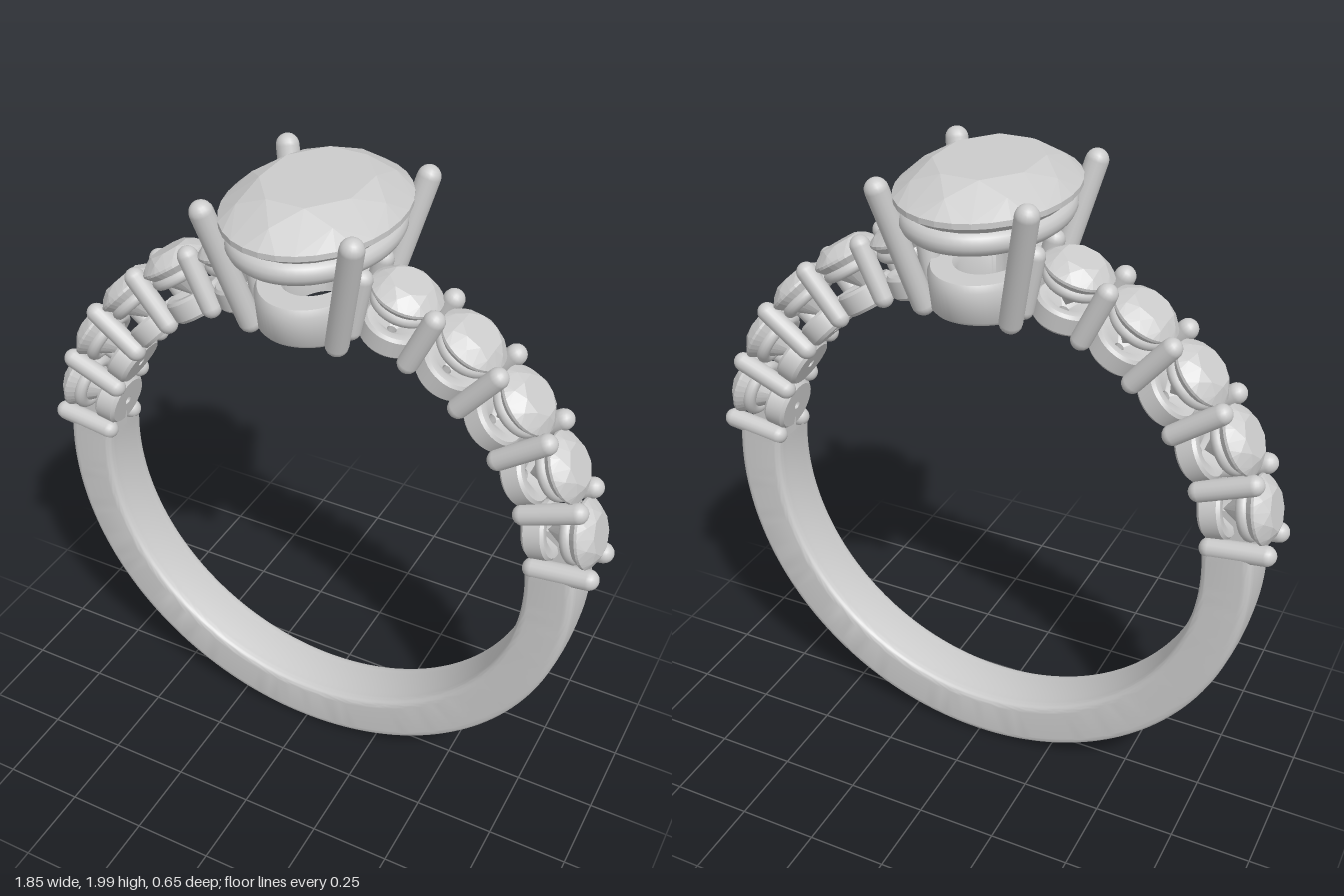
import * as THREE from 'three';
import { toCreasedNormals } from 'three/addons/utils/BufferGeometryUtils.js';
import { ConvexGeometry } from 'three/addons/geometries/ConvexGeometry.js';

const CENTER_Y = 0.88, INNER = 0.71, OUTER = 0.87;
const rad = THREE.MathUtils.degToRad;
const metal = new THREE.MeshStandardMaterial({ color: 0xcccccc });
const twoSided = new THREE.MeshStandardMaterial({ color: 0xcccccc, side: THREE.DoubleSide });
const gem = new THREE.MeshStandardMaterial({ color: 0xcccccc, flatShading: true });

function add(parent, name, geometry, material = metal) {
  const mesh = new THREE.Mesh(geometry, material);
  mesh.name = name;
  parent.add(mesh);
  return mesh;
}

// Round-ended rod whose tips lie on a and b
function rod(parent, name, a, b, r) {
  const dir = b.clone().sub(a);
  const mesh = add(parent, name, new THREE.CapsuleGeometry(r, dir.length() - 2 * r, 6, 16));
  mesh.position.copy(a).add(b).multiplyScalar(0.5);
  mesh.quaternion.setFromUnitVectors(new THREE.Vector3(0, 1, 0), dir.normalize());
}

// Brilliant cut: table, kite tips, girdle and pavilion rings, then the culet
function brilliant(rx, rz, top, girdle, culet) {
  const points = [];
  const ring = (n, scale, y, turn) => {
    for (let i = 0; i < n; i++) {
      const t = ((i + turn) / n) * Math.PI * 2;
      points.push(new THREE.Vector3(rx * scale * Math.cos(t), y, rz * scale * Math.sin(t)));
    }
  };
  const crown = top - girdle;
  ring(8, 0.6, top, 0.5);
  ring(8, 0.82, girdle + crown * 0.62, 0);
  ring(32, 1, girdle + crown * 0.12, 0);
  ring(32, 1, girdle - crown * 0.08, 0);
  ring(8, 0.42, culet + (girdle - culet) * 0.4, 0.5);
  points.push(new THREE.Vector3(0, culet, 0));
  return new ConvexGeometry(points);
}

function lathe(profile, segments = 48) {
  const points = profile.map(([x, y]) => new THREE.Vector2(x, y));
  return new THREE.LatheGeometry(points, segments);
}

// Plain lower shank with softened edges and capped ends
function addShank(group) {
  const w = 0.095, c = 0.03;
  const section = new THREE.Shape();
  section.moveTo(OUTER - c, -w);
  section.quadraticCurveTo(OUTER - 0.003, -w, OUTER - 0.003, -w + c);
  section.quadraticCurveTo(OUTER + 0.003, 0, OUTER - 0.003, w - c);
  section.quadraticCurveTo(OUTER - 0.003, w, OUTER - c, w);
  section.lineTo(INNER + c, w);
  section.quadraticCurveTo(INNER + 0.004, w, INNER + 0.004, w - c);
  section.quadraticCurveTo(INNER - 0.004, 0, INNER + 0.004, -w + c);
  section.quadraticCurveTo(INNER + 0.004, -w, INNER + c, -w);
  section.closePath();
  const end = rad(97);
  const band = new THREE.LatheGeometry(section.getPoints(8), 96, -end, 2 * end);
  band.rotateX(Math.PI / 2);
  const shank = new THREE.Group();
  shank.name = 'shank';
  shank.position.y = CENTER_Y;
  add(shank, 'band', toCreasedNormals(band, rad(35)), twoSided);
  for (const s of [-1, 1]) {
    const cap = add(shank, 'bandEnd', new THREE.ShapeGeometry(section, 8), twoSided);
    cap.rotation.z = s * end - Math.PI / 2;
  }
  group.add(shank);
}

// Shoulder stones with cups, seat rings and shared prong pairs
function addShoulders(group) {
  const stone = brilliant(0.104, 0.104, 0.925, 0.885, 0.765);
  const seat = new THREE.TorusGeometry(0.074, 0.02, 12, 40).rotateX(Math.PI / 2).translate(0, 0.848, 0);
  const cup = toCreasedNormals(lathe([
    [0.014, 0.714], [0.078, 0.714], [0.088, 0.724], [0.09, 0.776], [0.082, 0.785],
    [0.06, 0.785], [0.014, 0.75], [0.014, 0.714],
  ], 36), rad(40));
  const first = 82.5, step = 14.35;

  for (const side of [-1, 1]) {
    const shoulder = new THREE.Group();
    shoulder.name = side > 0 ? 'leftShoulder' : 'rightShoulder';
    shoulder.position.y = CENTER_Y;
    group.add(shoulder);
    const spoke = (name, degrees) => {
      const g = new THREE.Group();
      g.name = name;
      g.rotation.z = -side * rad(degrees);
      shoulder.add(g);
      return g;
    };
    for (let i = 0; i < 6; i++) {
      const pair = spoke('prongPair', first - step * i);
      for (const z of [-0.066, 0.066])
        rod(pair, 'sideProng', new THREE.Vector3(0, 0.705, z), new THREE.Vector3(0, 0.932, z), 0.031);
    }
    for (let i = 0; i < 5; i++) {
      const setting = spoke('sideSetting', first - step * (i + 0.5));
      add(setting, 'sideStone', stone, gem);
      add(setting, 'seatRing', seat);
      add(setting, 'cup', cup);
    }
  }
}

// Oval centre stone in a four-prong basket
function addHead(group) {
  const head = new THREE.Group();
  head.name = 'head';
  group.add(head);
  add(head, 'centreStone', brilliant(0.245, 0.325, 2.0, 1.92, 1.71), gem);

  const loop = Array.from({ length: 24 }, (_, i) => {
    const t = (i / 24) * Math.PI * 2;
    return new THREE.Vector3(0.198 * Math.cos(t), 1.857, 0.272 * Math.sin(t));
  });
  add(head, 'galleryRing', new THREE.TubeGeometry(new THREE.CatmullRomCurve3(loop, true), 80, 0.035, 14, true));

  // Oval base collar, its underside curved to follow the finger hole
  const collar = lathe([
    [0.52, 1.588], [0.9, 1.588], [0.95, 1.6], [1, 1.69], [0.95, 1.71],
    [0.6, 1.71], [0.52, 1.69], [0.52, 1.588],
  ], 64);
  collar.scale(0.16, 1, 0.225);
  const p = collar.attributes.position;
  for (let i = 0; i < p.count; i++)
    if (p.getY(i) < 1.62) p.setY(i, p.getY(i) - p.getX(i) ** 2 / (2 * INNER));
  add(head, 'baseCollar', toCreasedNormals(collar, rad(40)));

  for (const x of [-1, 1])
    for (const z of [-1, 1])
      rod(head, 'mainProng', new THREE.Vector3(x * 0.128, 1.565, z * 0.138),
        new THREE.Vector3(x * 0.227, 1.98, z * 0.242), 0.034);
}

export function createModel() {
  const ring = new THREE.Group();
  ring.name = 'ring';
  addShank(ring);
  addShoulders(ring);
  addHead(ring);
  return ring;
}
